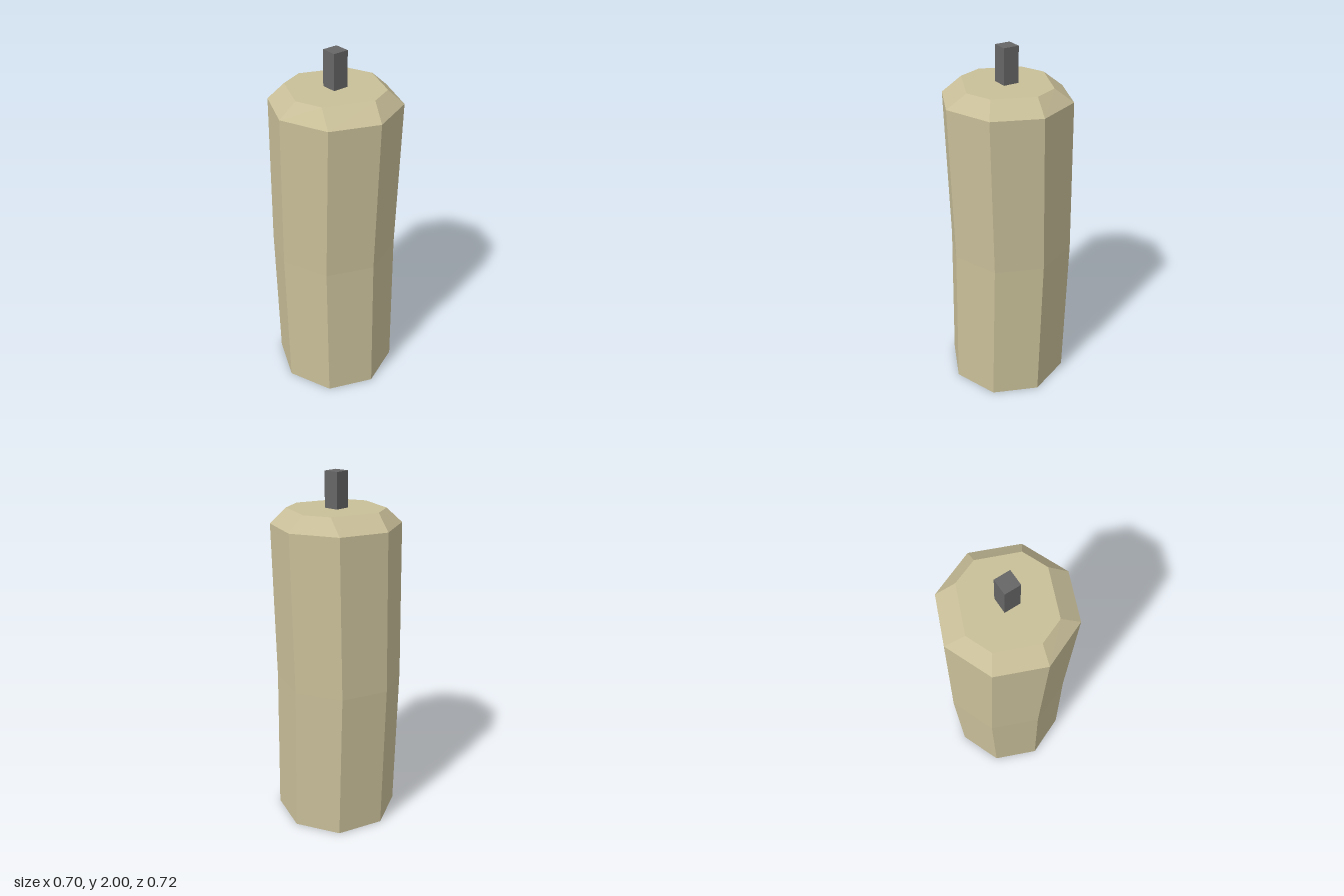
import * as THREE from 'three';

const SIDES = 8;

// regular octagon ring with a corner facing the front
function ring(y, radius, cz) {
  return Array.from({ length: SIDES }, (_, i) => {
    const a = (i / SIDES) * Math.PI * 2;
    return [radius * Math.sin(a), y, cz + radius * Math.cos(a)];
  });
}

// irregular, slightly twisted top rim: half the corners, then mirrored through the centre
function topRing(y, cz) {
  const half = [[0.04, 0.254], [0.175, 0.198], [0.262, -0.016], [0.208, -0.152]];
  const all = [...half, ...half.map(([x, z]) => [-x, -z])];
  return all.map(([x, z]) => [x, y, cz + z]);
}

// skin the rings with quads and close the last one with a flat fan
function loft(rings, centre) {
  const index = [];
  for (let r = 0; r < rings.length - 1; r++) {
    for (let i = 0; i < SIDES; i++) {
      const j = (i + 1) % SIDES;
      const a = r * SIDES + i, b = r * SIDES + j;
      index.push(a, b, b + SIDES, a, b + SIDES, a + SIDES);
    }
  }
  const last = (rings.length - 1) * SIDES;
  const tip = rings.length * SIDES;
  for (let i = 0; i < SIDES; i++) index.push(last + i, last + ((i + 1) % SIDES), tip);

  const geo = new THREE.BufferGeometry();
  geo.setAttribute('position', new THREE.Float32BufferAttribute([...rings.flat(2), ...centre], 3));
  geo.setIndex(index);
  const flat = geo.toNonIndexed();
  flat.computeVertexNormals();
  return flat;
}

export function createModel() {
  const group = new THREE.Group();
  group.name = 'candle';

  // gently bowed wax body, open underneath, with a chamfered top
  const wax = new THREE.Mesh(
    loft(
      [ring(0, 0.35, 0.01), ring(0.86, 0.35, -0.01), ring(1.73, 0.35, 0.01), topRing(1.81, 0.01)],
      [0, 1.81, 0.01]
    ),
    new THREE.MeshStandardMaterial({ color: 0xc8be98, flatShading: true, side: THREE.DoubleSide })
  );
  wax.name = 'waxBody';
  group.add(wax);

  // square wick
  const wick = new THREE.Mesh(
    new THREE.BoxGeometry(0.086, 0.19, 0.086),
    new THREE.MeshStandardMaterial({ color: 0x666666, flatShading: true })
  );
  wick.name = 'wick';
  wick.position.set(0, 1.905, 0.009);
  group.add(wick);

  return group;
}
